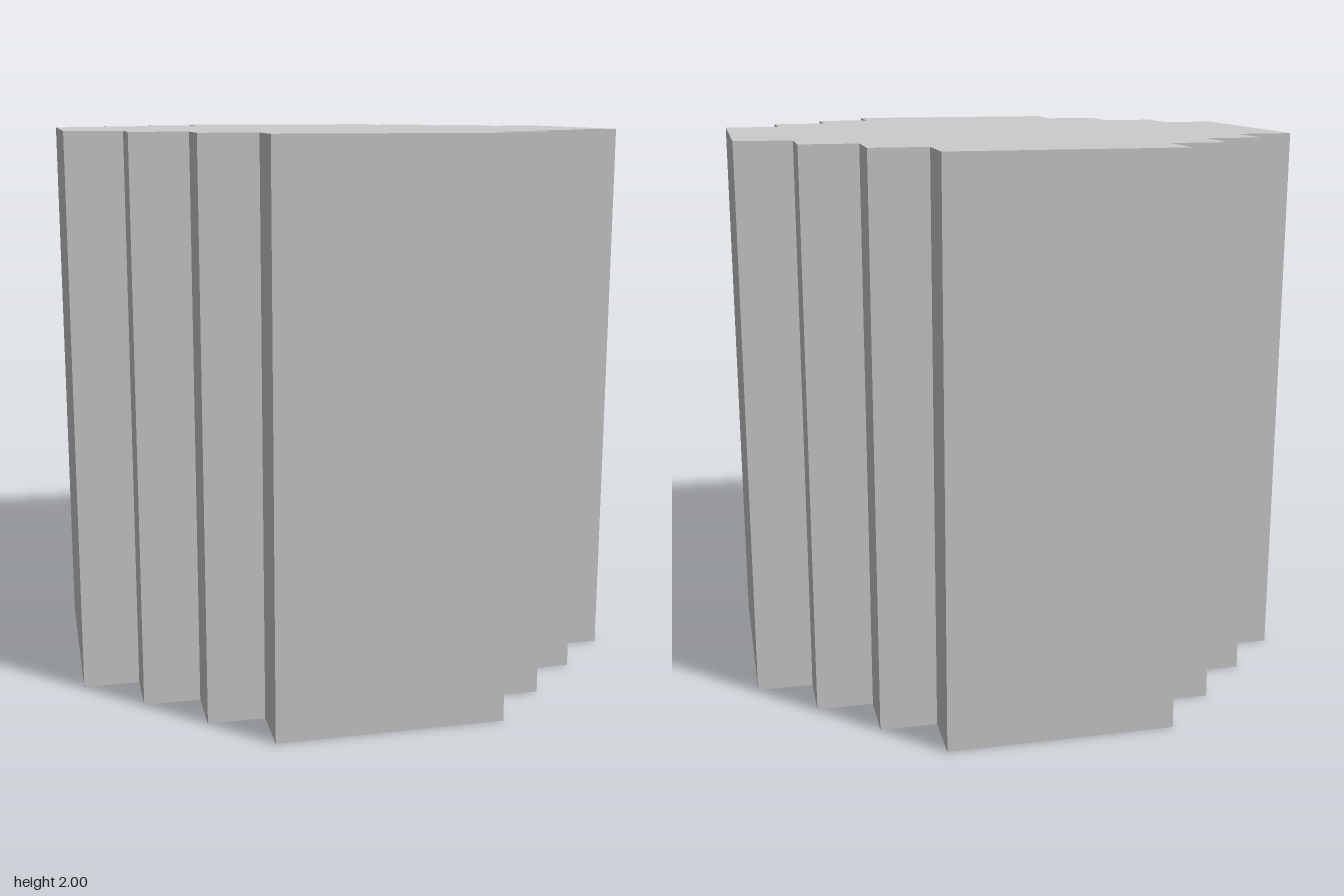
import * as THREE from 'three';

const HEIGHT = 2;

// Staircase running from the +x side to the +y side of the outline
const cornerSteps = [
  [1, 0.4], [0.8, 0.4], [0.8, 0.6], [0.6, 0.6], [0.6, 0.8], [0.4, 0.8], [0.4, 1],
];

// Repeat the corner in quarter turns to close the stepped disc
function steppedDisc() {
  const points = [];
  for (let quarter = 0; quarter < 4; quarter++) {
    for (const [x, y] of cornerSteps) {
      let px = x, py = y;
      for (let i = 0; i < quarter; i++) [px, py] = [-py, px];
      points.push(new THREE.Vector2(px, py));
    }
  }
  return new THREE.Shape(points);
}

export function createModel() {
  const group = new THREE.Group();
  group.name = 'steppedCylinder';

  // Solid column, extruded upward from the ground
  const geometry = new THREE.ExtrudeGeometry(steppedDisc(), { depth: HEIGHT, bevelEnabled: false });
  geometry.rotateX(-Math.PI / 2);
  const column = new THREE.Mesh(
    geometry,
    new THREE.MeshStandardMaterial({ color: 0xcccccc, flatShading: true }),
  );
  column.name = 'column';
  group.add(column);

  return group;
}
